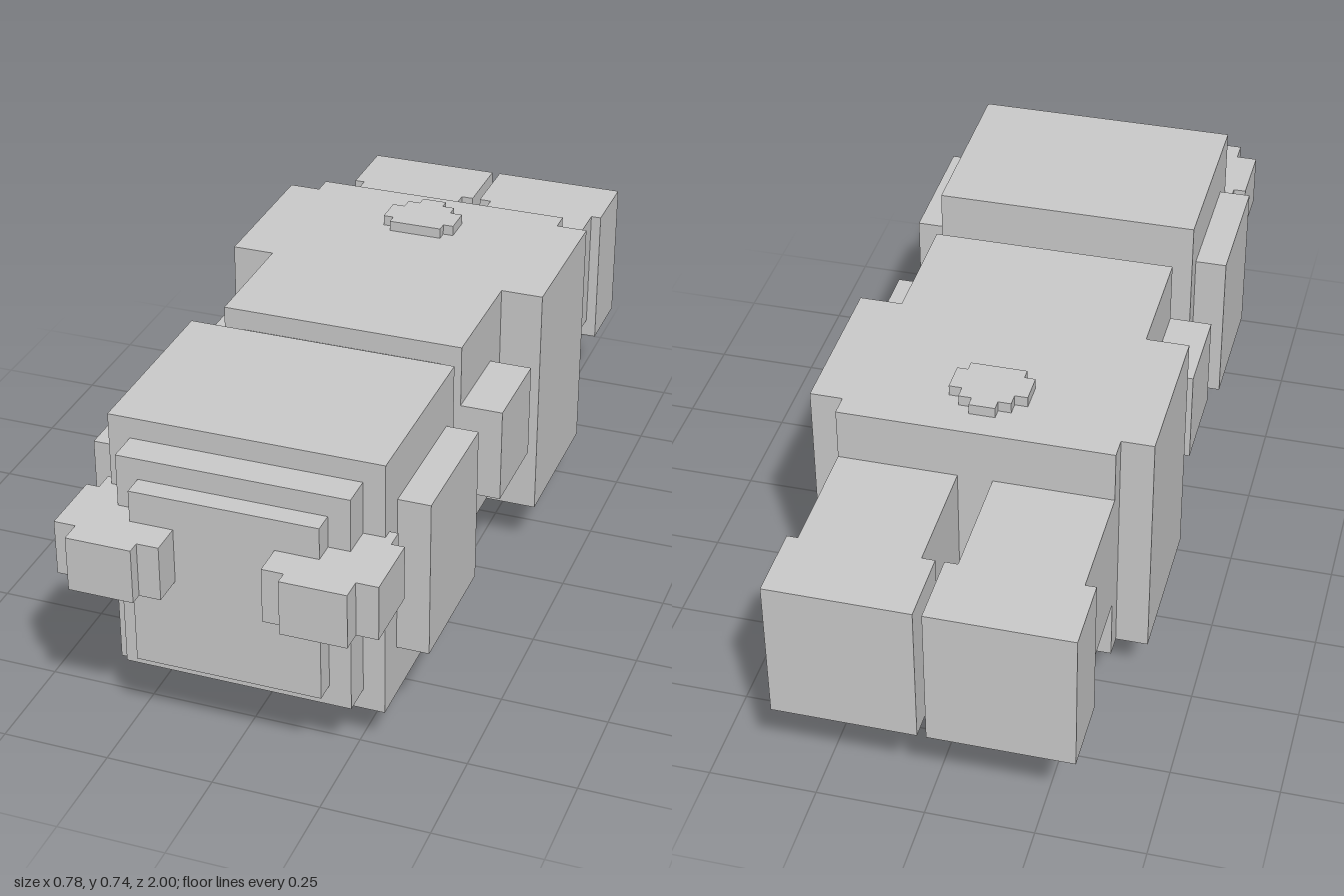
import * as THREE from 'three';

const material = new THREE.MeshStandardMaterial({ color: 0xcccccc, flatShading: true });

export function createModel() {
  const model = new THREE.Group();

  const add = (name, geometry) => {
    const mesh = new THREE.Mesh(geometry, material);
    mesh.name = name;
    model.add(mesh);
  };

  // Box given by its limits on each axis
  const box = (name, x0, x1, y0, y1, z0, z1) => {
    const g = new THREE.BoxGeometry(x1 - x0, y1 - y0, z1 - z0);
    g.translate((x0 + x1) / 2, (y0 + y1) / 2, (z0 + z1) / 2);
    add(name, g);
  };
  const centred = (name, x, ...limits) => box(name, -x, x, ...limits);

  // Matching boxes on both sides
  const pair = (name, x0, x1, ...limits) => {
    box('left' + name, x0, x1, ...limits);
    box('right' + name, -x1, -x0, ...limits);
  };

  // Flat plate from an x, z outline, between two heights
  const plate = (name, outline, y0, y1) => {
    const shape = new THREE.Shape(outline.map(([x, z]) => new THREE.Vector2(x, -z)));
    const g = new THREE.ExtrudeGeometry(shape, { depth: y1 - y0, bevelEnabled: false });
    g.rotateX(-Math.PI / 2).translate(0, y0, 0);
    add(name, g);
  };
  const mirror = (points) => points.map(([x, z]) => [-x, z]).reverse();

  // Head with stepped face
  centred('head', 0.315, 0.105, 0.735, 0.32, 0.77);
  centred('faceStep', 0.265, 0.155, 0.685, 0.77, 0.845);
  centred('facePanel', 0.215, 0.205, 0.635, 0.845, 0.895);
  pair('Ear', 0.315, 0.39, 0.23, 0.61, 0.37, 0.695);

  // Stepped eyes
  const eye = [
    [0.165, 0.745], [0.335, 0.745], [0.335, 0.79], [0.365, 0.79], [0.365, 0.95], [0.315, 0.95],
    [0.315, 1], [0.165, 1], [0.165, 0.97], [0.115, 0.97], [0.115, 0.79], [0.165, 0.79],
  ];
  plate('leftEye', eye, 0.43, 0.56);
  plate('rightEye', mirror(eye), 0.43, 0.56);

  // Pack and small plates under the head
  centred('headPack', 0.24, 0.03, 0.38, 0.27, 0.52);
  centred('headPackPlate', 0.09, 0, 0.08, 0.445, 0.545);
  centred('underHeadBlock', 0.09, 0.08, 0.105, 0.52, 0.595);
  centred('underHeadPlate', 0.14, 0.08, 0.105, 0.62, 0.725);

  // Neck and body
  centred('neck', 0.21, 0.33, 0.61, 0.24, 0.32);
  centred('collar', 0.24, 0.28, 0.66, 0.19, 0.24);
  centred('chest', 0.29, 0.18, 0.71, -0.11, 0.19);
  centred('body', 0.39, 0.13, 0.71, -0.49, -0.11);
  centred('hips', 0.315, 0.13, 0.71, -0.54, -0.49);
  pair('Arm', 0.29, 0.39, 0.33, 0.56, -0.035, 0.19);

  // Notched plate under the chest
  const side = [[0.21, 0.24], [0.21, -0.035], [0.15, -0.035], [0.15, 0.065], [0.09, 0.065], [0.09, -0.035]];
  plate('chestPlate', [...side, ...mirror(side)], 0.16, 0.182);

  // Stepped disc on top of the body
  const rim = [
    [0.065, -0.325], [0.065, -0.35], [0.09, -0.35], [0.09, -0.42],
    [0.06, -0.42], [0.06, -0.45], [0.03, -0.45], [0.03, -0.475],
  ];
  plate('topDisc', [...rim, ...mirror(rim)], 0.708, 0.735);

  // Legs and feet
  pair('Leg', 0.04, 0.315, 0.28, 0.585, -0.825, -0.54);
  pair('Foot', 0.01, 0.34, 0.235, 0.585, -1, -0.825);

  return model;
}
